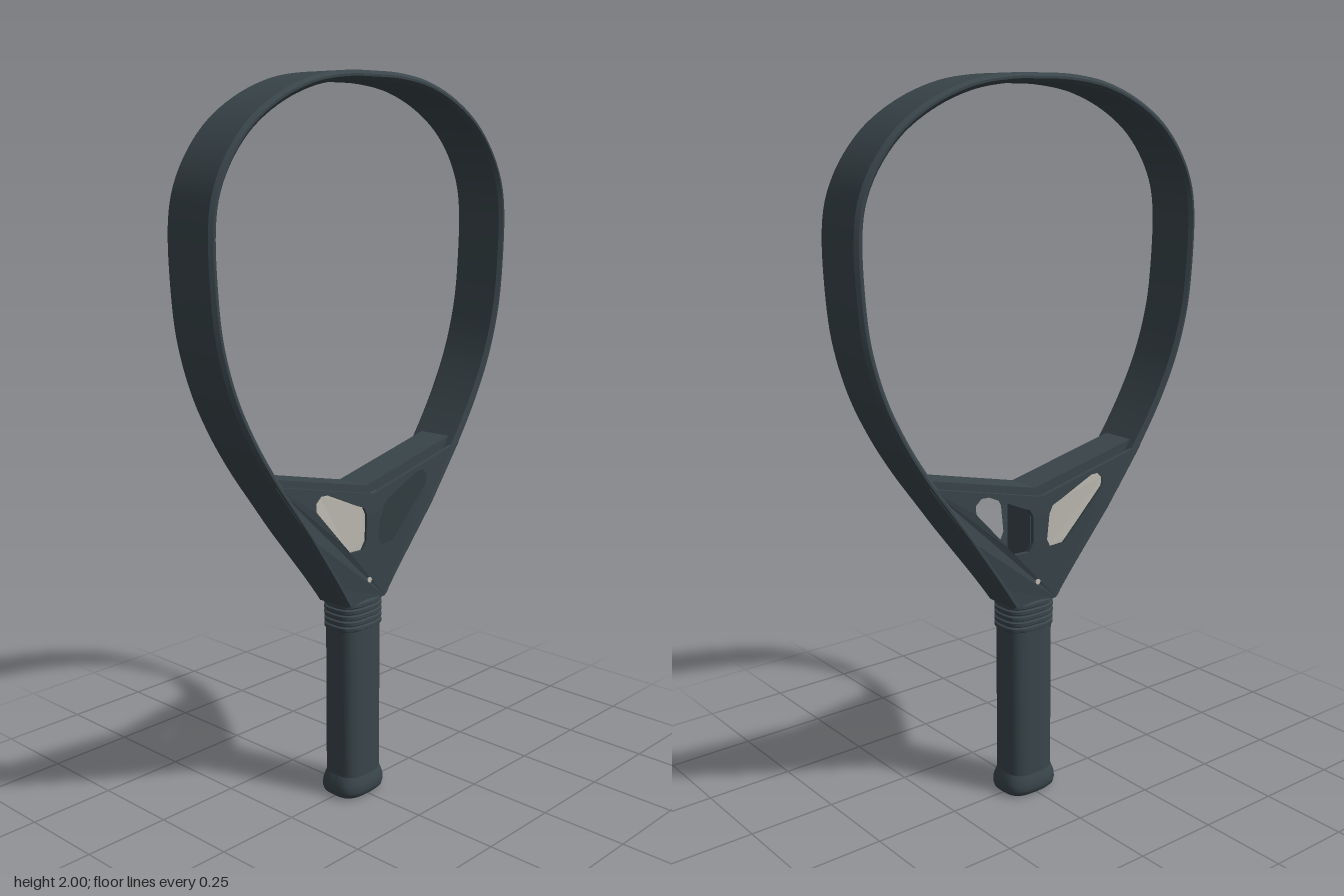
import * as THREE from 'three';
import { toCreasedNormals } from 'three/addons/utils/BufferGeometryUtils.js';

// Half depth of the frame at a given height: tapers toward the grip
const halfDepth = y => 0.06 + 0.021 * THREE.MathUtils.clamp((y - 0.6) / 0.22, 0, 1);

const WINDOW = [[0.205, 0.925], [0.224, 0.908], [0.222, 0.885], [0.1, 0.757], [0.085, 0.742], [0.038, 0.74],
  [0.024, 0.765], [0.028, 0.84], [0.04, 0.862], [0.065, 0.872], [0.18, 0.924]];
const toVecs = (pts, sx = 1) => pts.map(([x, y]) => new THREE.Vector2(x * sx, y));
const mirrored = pts => [...pts, ...pts.slice().reverse().filter(p => p[0] !== 0).map(([x, y]) => [-x, y])];

// Chamfered band swept up one arm, over the head and down the other arm
function bandGeometry() {
  const right = [[0.08, 0.58], [0.13, 0.652], [0.2, 0.747], [0.3, 0.882], [0.39, 1.005], [0.455, 1.11], [0.508, 1.22],
    [0.547, 1.35], [0.562, 1.47], [0.565, 1.63], [0.55, 1.71], [0.51, 1.79], [0.44, 1.87], [0.34, 1.935], [0.22, 1.98],
    [0.1, 1.998], [0, 2]];
  const curve = new THREE.CatmullRomCurve3(mirrored(right).map(([x, y]) => new THREE.Vector3(x, y, 0)));
  const c = 0.009, T = 0.024, N = 160, pos = [], index = [];
  for (let i = 0; i <= N; i++) {
    const p = curve.getPointAt(i / N), t = curve.getTangentAt(i / N), h = halfDepth(p.y);
    const section = [[-c, h], [0, h - c], [0, c - h], [-c, -h], [c - T, -h], [-T, c - h], [-T, h - c], [c - T, h]];
    for (const [n, z] of section) pos.push(p.x + t.y * n, p.y - t.x * n, z);
    if (i === N) break;
    for (let j = 0; j < 8; j++) {
      const a = i * 8 + j, b = i * 8 + (j + 1) % 8;
      index.push(a, b, a + 8, b, b + 8, a + 8);
    }
  }
  const geo = new THREE.BufferGeometry();
  geo.setAttribute('position', new THREE.Float32BufferAttribute(pos, 3));
  geo.setIndex(index);
  return toCreasedNormals(geo, 0.4);
}

// Extruded sheet whose depth position follows the frame taper
function sheetGeometry(shape, depth, inset) {
  const geo = new THREE.ExtrudeGeometry(shape, { depth, bevelEnabled: false });
  const p = geo.attributes.position;
  for (let i = 0; i < p.count; i++) p.setZ(i, p.getZ(i) + halfDepth(p.getY(i)) - inset);
  geo.computeVertexNormals();
  return geo;
}

// Turned profile with a rounded-rectangle cross-section
function gripGeometry(profile, flatten) {
  const geo = new THREE.LatheGeometry(toVecs(profile), 48);
  const p = geo.attributes.position;
  for (let i = 0; i < p.count; i++) {
    const x = p.getX(i), z = p.getZ(i), r = Math.hypot(x, z);
    if (r < 1e-6) continue;
    const k = 1 / Math.pow(Math.abs(x / r) ** 3 + Math.abs(z / r) ** 3, 1 / 3);
    p.setXYZ(i, x * k, p.getY(i), z * k * flatten);
  }
  return toCreasedNormals(geo, 0.7);
}

export function createModel() {
  const model = new THREE.Group();
  const slate = new THREE.MeshStandardMaterial({ color: 0x3a464b });
  slate.name = 'darkSlate';
  const stone = new THREE.MeshStandardMaterial({ color: 0xbfbdb4 });
  stone.name = 'paleStone';
  const add = (name, geo, mat = slate) => {
    const mesh = new THREE.Mesh(geo, mat);
    mesh.name = name;
    model.add(mesh);
    return mesh;
  };

  add('headBand', bandGeometry());

  // Throat: a windowed plate on each side, with panels behind the right window
  const plate = new THREE.Shape(toVecs(mirrored([[0, 0.893], [0.368, 0.98], [0.285, 0.87], [0.245, 0.82],
    [0.115, 0.645], [0.07, 0.58]])));
  for (const s of [1, -1]) plate.holes.push(new THREE.Path(toVecs(WINDOW, s)));
  const plateGeo = sheetGeometry(plate, 0.012, 0.015);
  for (const [name, turn] of [['frontThroatPlate', 0], ['backThroatPlate', Math.PI]]) {
    add(name, plateGeo).rotation.y = turn;
    const panel = new THREE.Shape(toVecs(WINDOW, turn ? 1 : -1));
    add(turn ? 'backWindowPanel' : 'frontWindowPanel', sheetGeometry(panel, 0.004, 0.014), stone).rotation.y = turn;
    const screw = new THREE.CylinderGeometry(0.008, 0.008, 0.006, 12).rotateX(Math.PI / 2);
    const mesh = add('throatScrew', screw, stone);
    mesh.position.set(0, 0.645, (turn ? -1 : 1) * (halfDepth(0.645) - 0.003));
  }

  // V-shaped bridge between the arms and the rib under it
  const bridge = new THREE.Shape(toVecs([[0, 0.912], [0.38, 1], [0.362, 0.968], [0, 0.883], [-0.362, 0.968], [-0.38, 1]]));
  add('bridge', new THREE.ExtrudeGeometry(bridge, { depth: 0.1, bevelEnabled: false }).translate(0, 0, -0.05));
  add('centreRib', new THREE.BoxGeometry(0.036, 0.32, 0.1)).position.y = 0.74;

  // Handle: ringed collar, grip and flared butt cap
  const collar = [[0, 0.5], [0.075, 0.5]];
  for (let i = 0; i < 5; i++) {
    const y = 0.502 + i * 0.017;
    collar.push([0.076, y], [0.081, y + 0.003], [0.081, y + 0.012], [0.076, y + 0.015]);
  }
  collar.push([0.07, 0.592], [0, 0.592]);
  add('collar', gripGeometry(collar, 0.78));
  add('grip', gripGeometry([[0.075, 0.045], [0.075, 0.505]], 0.8));
  add('buttCap', gripGeometry([[0, 0], [0.074, 0], [0.083, 0.007], [0.087, 0.02], [0.086, 0.038],
    [0.08, 0.055], [0.075, 0.066]], 0.78));
  return model;
}
